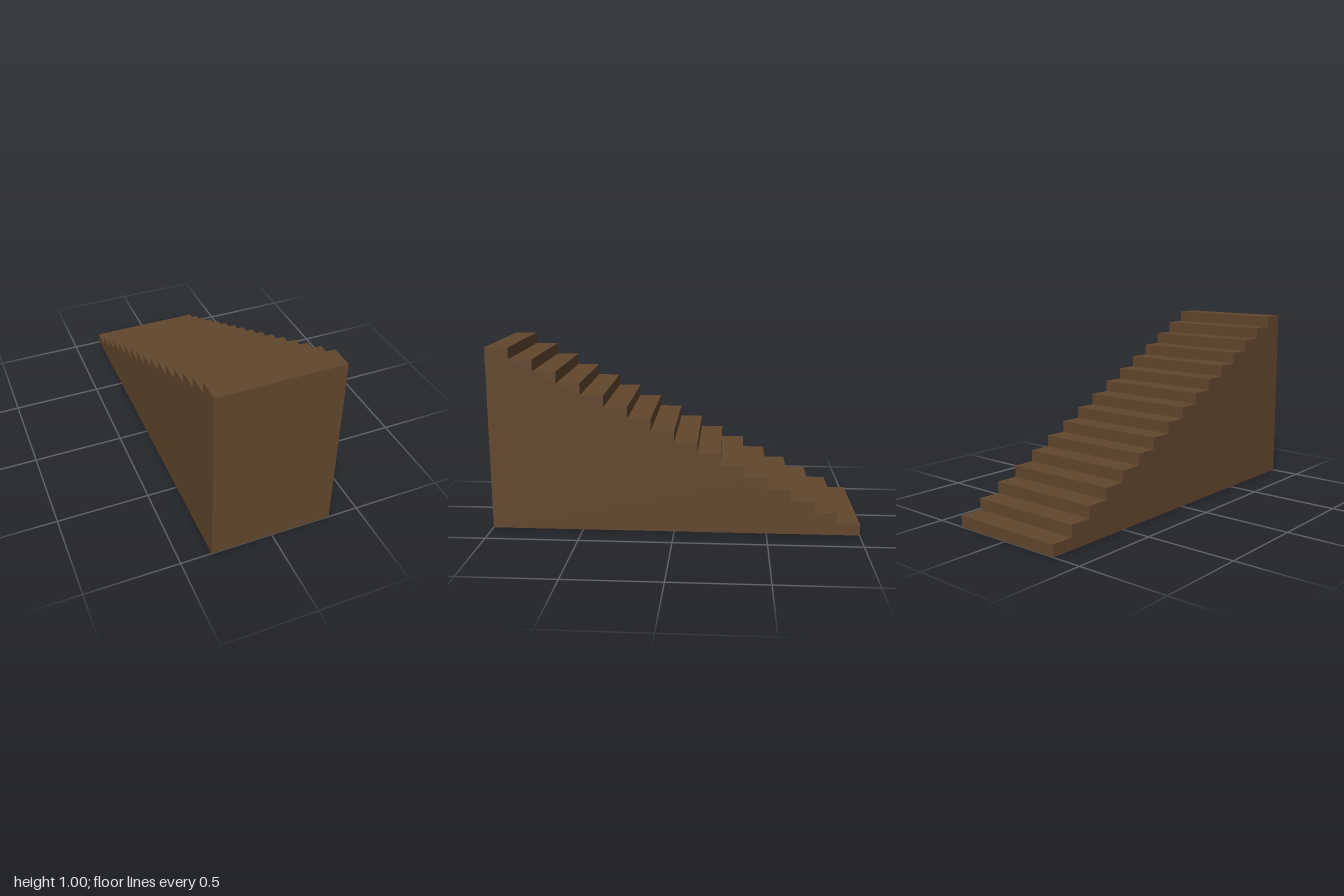
import * as THREE from 'three';

const STEPS = 16, LENGTH = 2, HEIGHT = 1, WIDTH = 2 / 3;

export function createModel() {
  const wood = new THREE.MeshStandardMaterial({ color: 0x62472d });
  wood.name = 'brown wood';

  // Side profile: climbs from the low back end to the tall front end
  const run = LENGTH / STEPS, rise = HEIGHT / STEPS;
  const profile = new THREE.Shape();
  profile.moveTo(-LENGTH / 2, 0);
  profile.lineTo(LENGTH / 2, 0);
  profile.lineTo(LENGTH / 2, HEIGHT);
  for (let i = STEPS - 1; i >= 0; i--) {
    const z = -LENGTH / 2 + i * run;
    profile.lineTo(z, (i + 1) * rise); // tread
    if (i > 0) profile.lineTo(z, i * rise); // riser
  }
  profile.closePath();

  // Solid staircase, extruded across the width and turned so the profile runs along z
  const geometry = new THREE.ExtrudeGeometry(profile, { depth: WIDTH, bevelEnabled: false });
  geometry.translate(0, 0, -WIDTH / 2);
  geometry.rotateY(-Math.PI / 2);

  const staircase = new THREE.Mesh(geometry, wood);
  staircase.name = 'staircase';

  const model = new THREE.Group();
  model.name = 'solidStaircase';
  model.add(staircase);
  return model;
}
